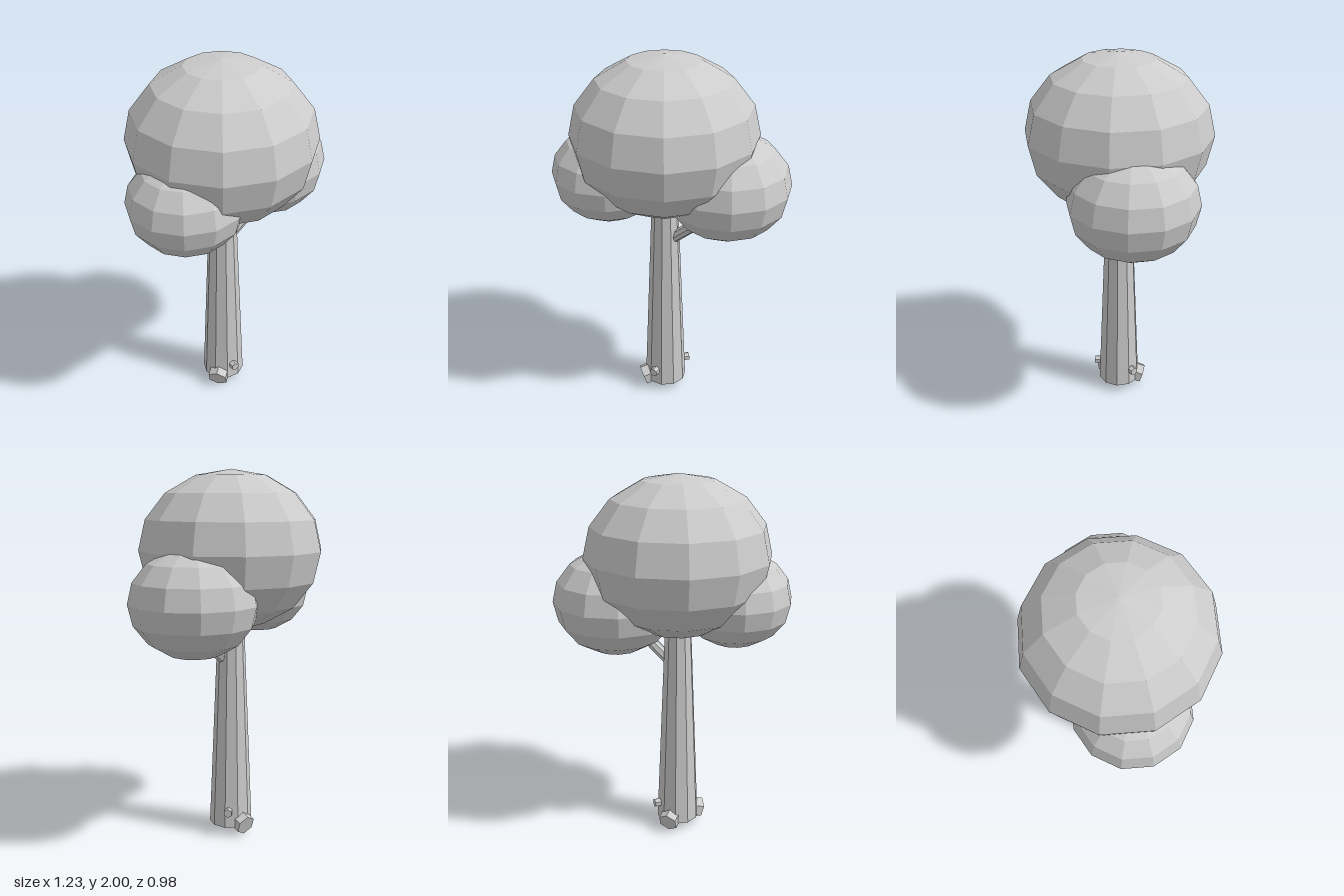
import * as THREE from 'three';

export function createModel() {
  const model = new THREE.Group();
  const grey = new THREE.MeshStandardMaterial({ color: 0xcccccc, flatShading: true });
  grey.name = 'plain grey';
  const trunkX = -0.04;

  function add(name, geometry) {
    const mesh = new THREE.Mesh(geometry, grey);
    mesh.name = name;
    model.add(mesh);
    return mesh;
  }

  // Slightly squashed foliage ball
  function foliage(name, x, y, z, r) {
    const mesh = add(name, new THREE.SphereGeometry(r, 12, 8));
    mesh.scale.y = 0.85;
    mesh.position.set(x, y, z);
  }

  // Faceted limb between two points, with one corner pointing down
  function limb(name, from, to, r0, r1, sides) {
    const geometry = new THREE.CylinderGeometry(r1, r0, from.distanceTo(to), sides);
    geometry.rotateX(Math.PI / 2);
    const mesh = add(name, geometry);
    mesh.position.lerpVectors(from, to, 0.5);
    mesh.lookAt(to);
  }

  // Stub growing out of the trunk at a heading; drop is its fall over its length
  function stub(name, heading, inner, outer, y, drop, r) {
    const point = (d, h) => new THREE.Vector3(
      trunkX + Math.sin(heading) * d, h, Math.cos(heading) * d);
    limb(name, point(inner, y + drop), point(outer, y), r, r, 6);
  }

  // Crown
  foliage('mainFoliage', trunkX, 1.5835, 0, 0.49);
  foliage('rightFoliage', -0.315, 1.36, 0.115, 0.3);
  foliage('leftFoliage', 0.275, 1.335, -0.1, 0.335);

  // Tapered trunk
  const trunk = add('trunk', new THREE.CylinderGeometry(0.063, 0.118, 1.35, 10));
  trunk.rotation.y = Math.PI / 2;
  trunk.position.set(trunkX, 0.725, 0);

  // Branch reaching into the left foliage
  limb('branch', new THREE.Vector3(-0.03, 0.967, 0),
    new THREE.Vector3(0.25, 1.2, 0), 0.032, 0.03, 8);

  // Roots and small knots
  stub('frontRoot', -Math.PI / 4, 0.03, 0.137, 0.06, 0.035, 0.06);
  stub('backRoot', Math.PI, 0.03, 0.137, 0.062, 0.035, 0.057);
  stub('frontKnot', 0, 0.06, 0.142, 0.146, 0, 0.024);
  stub('backKnot', Math.PI * 0.75, 0.06, 0.142, 0.146, 0, 0.024);

  return model;
}
